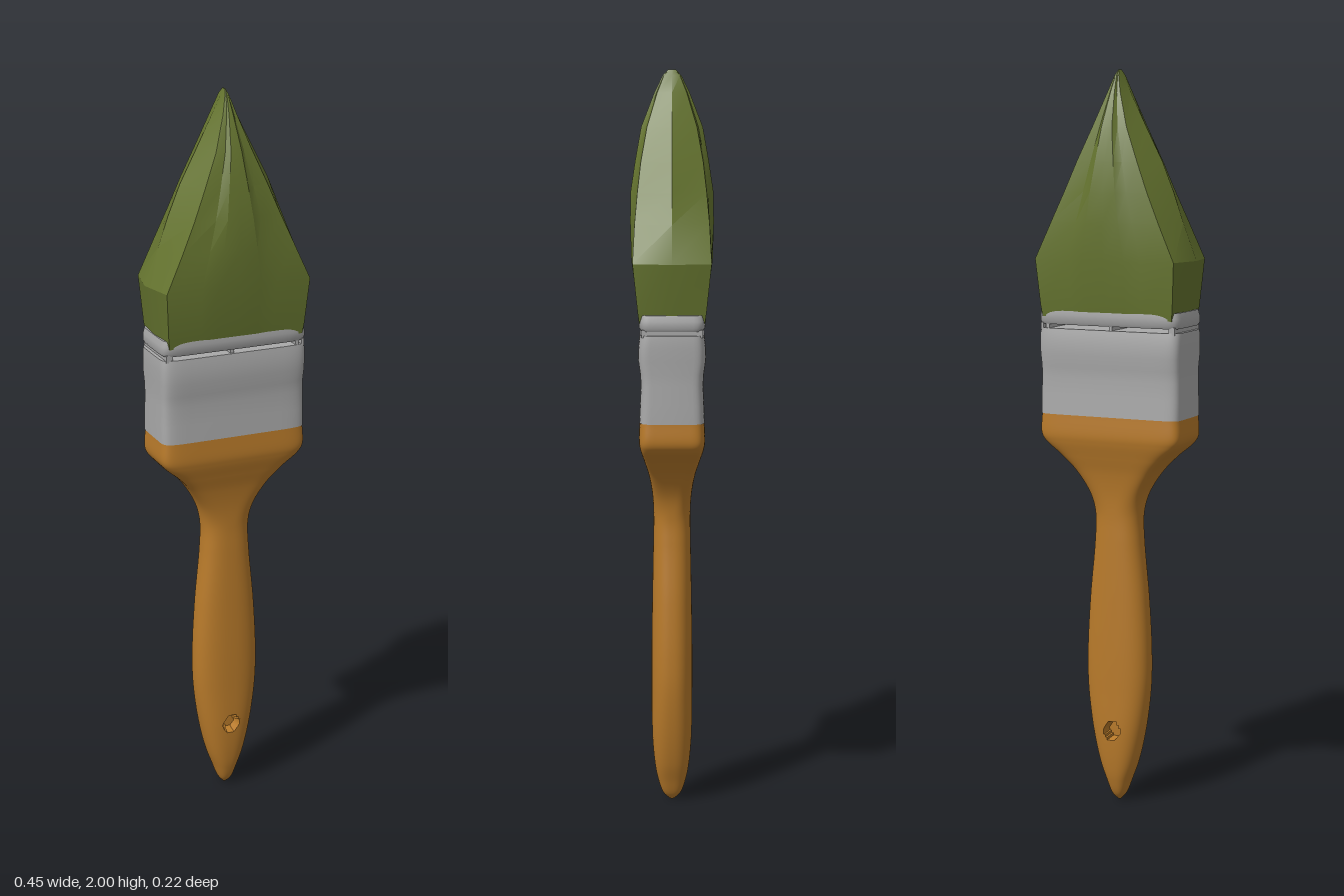
import * as THREE from 'three';
import { toCreasedNormals } from 'three/addons/utils/BufferGeometryUtils.js';

const wood = new THREE.MeshStandardMaterial({ color: 0xb87a2a });
wood.name = 'orange wood';
const metal = new THREE.MeshStandardMaterial({ color: 0xa9a9a9 });
metal.name = 'grey metal';
const paint = new THREE.MeshStandardMaterial({ color: 0x65742f });
paint.name = 'green bristle';

// Skin a stack of rings (bottom to top) and close both ends.
function loft(rings, crease) {
  const n = rings[0].length;
  const centre = (r) => {
    const c = new THREE.Vector3();
    r.forEach((p) => c.add(p));
    c.divideScalar(n);
    return r.map(() => c);
  };
  const all = [centre(rings[0]), ...rings, centre(rings[rings.length - 1])];
  const index = [];
  for (let j = 0; j < all.length - 1; j++) {
    for (let i = 0; i < n; i++) {
      const a = j * n + i, b = j * n + ((i + 1) % n), c = a + n, d = b + n;
      if (j > 0) index.push(a, c, b);
      if (j < all.length - 2) index.push(b, c, d);
    }
  }
  const geo = new THREE.BufferGeometry().setFromPoints(all.flat());
  geo.setIndex(index);
  // enlarged while creasing so that small features stay separate
  geo.scale(100, 100, 100);
  const out = toCreasedNormals(geo, crease);
  out.scale(0.01, 0.01, 0.01);
  return out;
}

// Rounded rectangle ring: half width w, half depth d, squareness n.
function roundedRing(y, w, d, n, count) {
  const bend = (v) => Math.sign(v) * Math.abs(v) ** (2 / n);
  return Array.from({ length: count }, (_, i) => {
    const t = (i / count) * Math.PI * 2;
    return new THREE.Vector3(w * bend(Math.cos(t)), y, d * bend(Math.sin(t)));
  });
}

function part(group, name, geo, material) {
  const mesh = new THREE.Mesh(geo, material);
  mesh.name = name;
  group.add(mesh);
  return mesh;
}

export function createModel() {
  const brush = new THREE.Group();
  brush.name = 'paintbrush';

  // Handle: half width, height, half depth
  const profile = [
    [0.004, 0, 0.006], [0.018, 0.018, 0.024], [0.034, 0.06, 0.039], [0.052, 0.11, 0.048],
    [0.073, 0.2, 0.055], [0.089, 0.32, 0.056], [0.091, 0.42, 0.056], [0.083, 0.57, 0.054],
    [0.068, 0.73, 0.051], [0.066, 0.8, 0.05], [0.077, 0.86, 0.053], [0.11, 0.92, 0.062],
    [0.15, 0.965, 0.074], [0.195, 1.005, 0.085], [0.206, 1.025, 0.088], [0.205, 1.085, 0.086],
  ];
  const curve = new THREE.CatmullRomCurve3(profile.map((p) => new THREE.Vector3(...p)));
  const rows = (profile.length - 1) * 14;
  const handleRings = [];
  for (let j = 0; j <= rows; j++) {
    const p = curve.getPoint(j / rows);
    const square = 2.5 + 6 * THREE.MathUtils.smoothstep(p.y, 0.8, 1.03);
    const ring = roundedRing(p.y, p.x, p.z, square, 96);
    // hanging hole, sunk into both faces
    for (const v of ring) if (Math.hypot(v.x, v.y - 0.205) < 0.022) v.z *= 0.45;
    handleRings.push(ring);
  }
  part(brush, 'handle', loft(handleRings, 0.7), wood);

  // Ferrule: main sleeve and upper band, with a narrow slot between them
  const ferrule = new THREE.Group();
  ferrule.name = 'ferrule';
  brush.add(ferrule);
  const band = (rowsOf) => loft(rowsOf.map(([y, w, d]) => roundedRing(y, w, d, 9, 48)), 0.7);
  part(ferrule, 'sleeve', band([
    [1.08, 0.206, 0.087], [1.13, 0.206, 0.085], [1.18, 0.205, 0.083], [1.21, 0.205, 0.085],
    [1.245, 0.207, 0.09], [1.28, 0.208, 0.089], [1.3, 0.208, 0.087], [1.313, 0.207, 0.085],
  ]), metal);
  part(ferrule, 'upperBand', band([
    [1.324, 0.203, 0.084], [1.332, 0.207, 0.088], [1.35, 0.206, 0.09], [1.366, 0.202, 0.088],
  ]), metal);
  for (const [x, w] of [[-0.188, 0.018], [-0.01, 0.01], [0.178, 0.01], [0.195, 0.008]]) {
    part(ferrule, 'slotBridge', new THREE.BoxGeometry(w, 0.02, 0.16), metal)
      .position.set(x, 1.318, 0);
  }

  // Bristles: height, side ridge x, corner x, corner z, middle z
  const sections = [
    [1.345, 0.197, 0.19, 0.086, 0.086], [1.375, 0.202, 0.194, 0.09, 0.091],
    [1.5, 0.224, 0.203, 0.103, 0.108], [1.6, 0.185, 0.157, 0.098, 0.111],
    [1.68, 0.157, 0.121, 0.091, 0.11], [1.76, 0.124, 0.088, 0.082, 0.098],
    [1.85, 0.077, 0.05, 0.066, 0.082], [1.94, 0.031, 0.019, 0.039, 0.047],
    [1.985, 0.009, 0.006, 0.021, 0.025], [2, 0.002, 0.001, 0.008, 0.01],
  ];
  const bristleRings = sections.map(([y, w, cx, cz, mz]) => {
    const quarter = [[w, 0], [cx, cz], [cx * 0.52, cz + (mz - cz) * 0.25], [cx * 0.3, mz]];
    const half = [...quarter, [0, mz], ...quarter.slice(1).reverse().map(([x, z]) => [-x, z])];
    const loop = [...half, ...half.map(([x, z]) => [-x, -z])];
    return loop.map(([x, z]) => new THREE.Vector3(x, y, z));
  });
  part(brush, 'bristles', loft(bristleRings, 0.45), paint);

  return brush;
}
